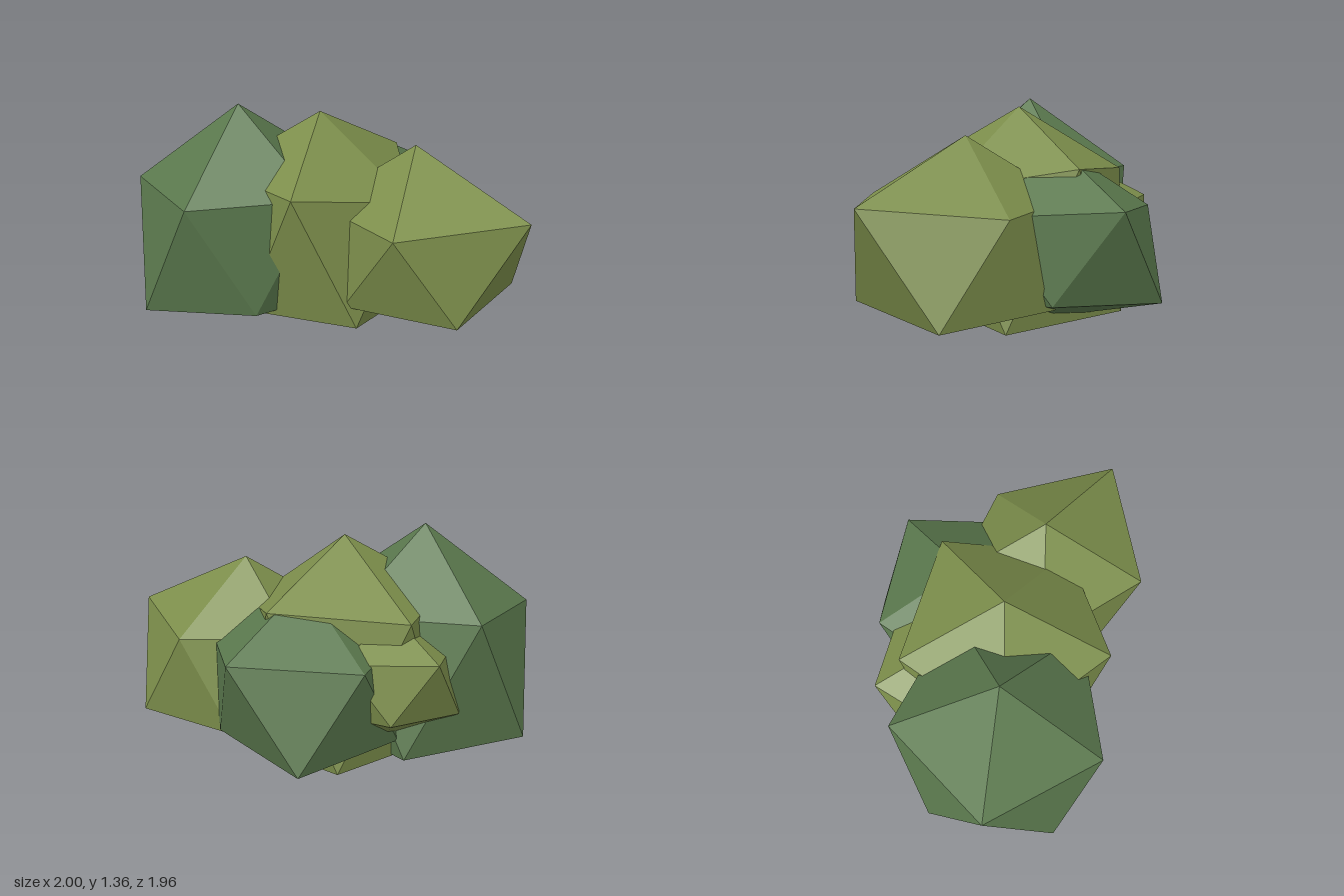
import * as THREE from 'three';

const olive = new THREE.MeshStandardMaterial({ color: 0x7c8e4b });
olive.name = 'olive leaves';
const green = new THREE.MeshStandardMaterial({ color: 0x5a784d });
green.name = 'green leaves';

// Five points around a clump's axis; radii and heights vary a little per point
function ring(x, z, startDegrees, radii, heights) {
  return radii.map((r, i) => {
    const a = THREE.MathUtils.degToRad(startDegrees + i * 72);
    return new THREE.Vector3(x + r * Math.cos(a), heights[i], z + r * Math.sin(a));
  });
}

// Uneven twenty-sided leaf clump: two poles and two staggered rings
function leafClump({ name, material, x, z, top, bottom, start, upperR, upperY, lowerR, lowerY }) {
  const up = ring(x, z, start, upperR, upperY);
  const low = ring(x, z, start + 36, lowerR, lowerY);
  const peak = new THREE.Vector3(x, top, z);
  const base = new THREE.Vector3(x, bottom, z);
  const points = [];
  for (let i = 0; i < 5; i++) {
    const j = (i + 1) % 5;
    points.push(peak, up[j], up[i]);
    points.push(up[i], up[j], low[i]);
    points.push(up[j], low[j], low[i]);
    points.push(base, low[i], low[j]);
  }
  // Unshared corners give flat facets
  const geometry = new THREE.BufferGeometry().setFromPoints(points);
  geometry.computeVertexNormals();
  const mesh = new THREE.Mesh(geometry, material);
  mesh.name = name;
  return mesh;
}

const clumps = [
  {
    name: 'centreClump', material: olive, x: -0.12, z: -0.04, top: 1.31, bottom: 0, start: 50,
    upperR: [0.595, 0.6, 0.61, 0.62, 0.6], upperY: [0.99, 0.97, 0.95, 1.0, 0.88],
    lowerR: [0.55, 0.6, 0.63, 0.6, 0.555], lowerY: [0.22, 0.2, 0.18, 0.14, 0.2],
  },
  {
    name: 'frontClump', material: green, x: -0.38, z: 0.34, top: 1.355, bottom: 0.09, start: 59.5,
    upperR: [0.595, 0.61, 0.607, 0.605, 0.605], upperY: [0.925, 0.9, 0.93, 0.93, 0.93],
    lowerR: [0.64, 0.645, 0.62, 0.6, 0.5], lowerY: [0.21, 0.21, 0.2, 0.2, 0.27],
  },
  {
    name: 'leftClump', material: olive, x: 0.34, z: -0.36, top: 1.17, bottom: 0.2, start: 51.5,
    upperR: [0.59, 0.55, 0.55, 0.495, 0.69], upperY: [0.84, 0.83, 0.83, 0.8, 0.86],
    lowerR: [0.505, 0.55, 0.51, 0.616, 0.577], lowerY: [0.33, 0.32, 0.31, 0.3, 0.32],
  },
  {
    name: 'backClump', material: green, x: -0.17, z: -0.4, top: 1.11, bottom: 0.16, start: 48,
    upperR: [0.55, 0.55, 0.535, 0.584, 0.55], upperY: [0.78, 0.78, 0.77, 0.82, 0.78],
    lowerR: [0.5, 0.52, 0.594, 0.47, 0.5], lowerY: [0.3, 0.3, 0.3, 0.34, 0.3],
  },
  {
    name: 'smallSideClump', material: olive, x: -0.5, z: -0.12, top: 0.98, bottom: 0.25, start: 46,
    upperR: [0.39, 0.39, 0.4, 0.39, 0.39], upperY: [0.77, 0.74, 0.78, 0.78, 0.77],
    lowerR: [0.39, 0.4, 0.38, 0.39, 0.39], lowerY: [0.44, 0.44, 0.48, 0.45, 0.44],
  },
];

export function createModel() {
  const bush = new THREE.Group();
  bush.name = 'bush';
  for (const clump of clumps) bush.add(leafClump(clump));
  return bush;
}
